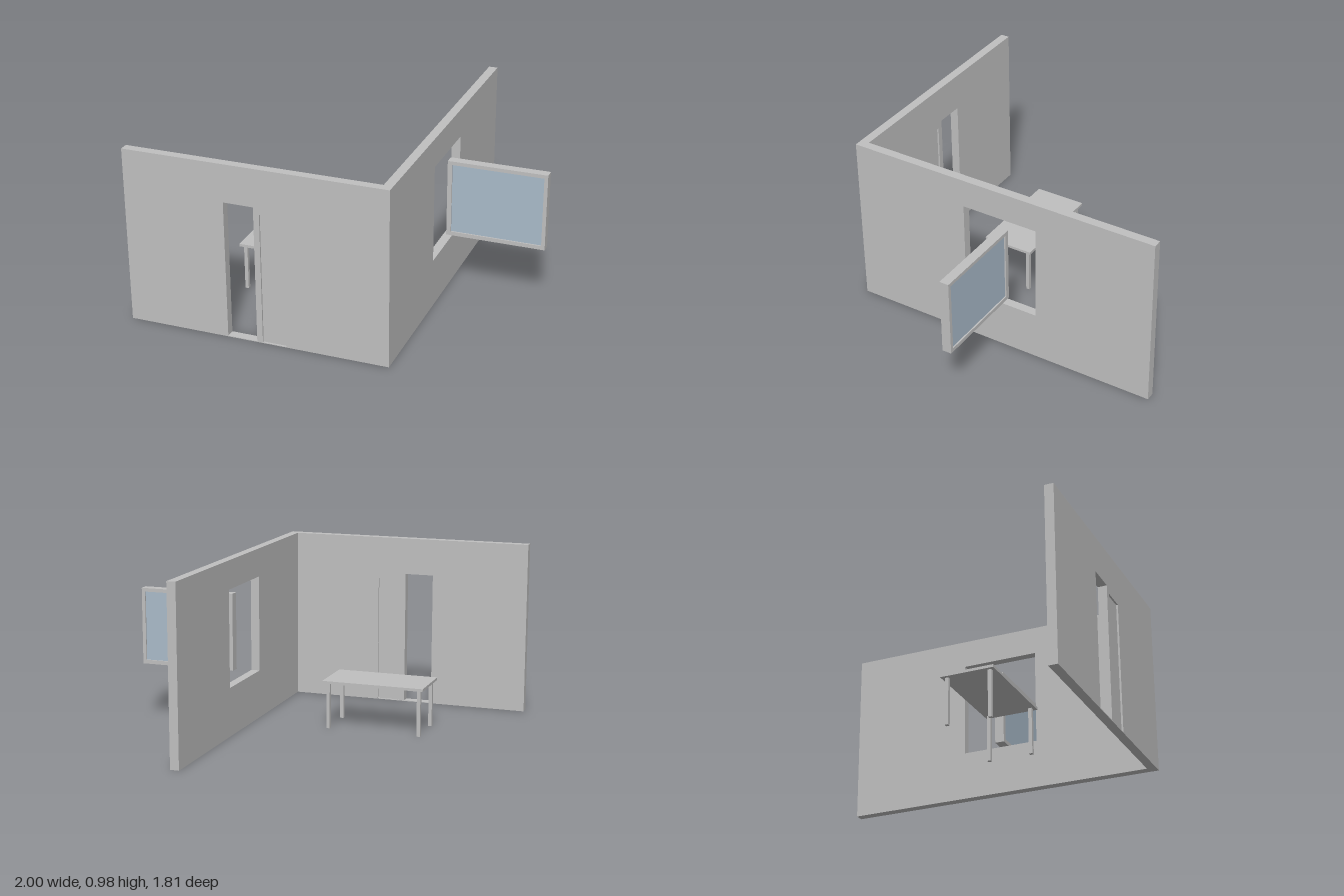
import * as THREE from 'three';

export function createModel() {
  const root = new THREE.Group();
  const grey = new THREE.MeshStandardMaterial({ color: 0xc0c0c0 });
  grey.name = 'plaster grey';
  const blue = new THREE.MeshStandardMaterial({ color: 0xaabbca });
  blue.name = 'glass blue';

  const add = (name, geometry, material, parent = root) => {
    const mesh = new THREE.Mesh(geometry, material);
    mesh.name = name;
    parent.add(mesh);
    return mesh;
  };
  // Box given by its minimum and maximum on each axis
  const box = (name, [x0, x1], [y0, y1], [z0, z1], material = grey, parent = root) => {
    const mesh = add(name, new THREE.BoxGeometry(x1 - x0, y1 - y0, z1 - z0), material, parent);
    mesh.position.set((x0 + x1) / 2, (y0 + y1) / 2, (z0 + z1) / 2);
    return mesh;
  };
  const rect = (path, x0, x1, y0, y1) =>
    path.moveTo(x0, y0).lineTo(x1, y0).lineTo(x1, y1).lineTo(x0, y1).closePath();
  // Rectangular slab with one rectangular hole, extruded along z
  const holedSlab = (outer, inner, depth) => {
    const shape = rect(new THREE.Shape(), ...outer);
    shape.holes.push(rect(new THREE.Path(), ...inner));
    return new THREE.ExtrudeGeometry(shape, { depth, bevelEnabled: false });
  };

  const H = 0.98, zBack = 0.855, zFront = 0.905;

  // Front wall, notched for the doorway and the narrow door panel beside it
  const outline = [
    [-1, 0], [-0.44, 0], [-0.44, 0.77], [-0.275, 0.77], [-0.275, 0], [-0.243, 0],
    [-0.243, 0.735], [-0.11, 0.735], [-0.11, 0], [0.4, 0], [0.4, H], [-1, H],
  ].map(([x, y]) => new THREE.Vector2(x, y));
  add('frontWall', new THREE.ExtrudeGeometry(new THREE.Shape(outline),
    { depth: zFront - zBack, bevelEnabled: false }), grey).position.z = zBack;
  box('doorSill', [-0.44, -0.275], [0, 0.004], [zBack, zFront]);
  box('doorPanelSill', [-0.243, -0.11], [0, 0.004], [zBack, zFront]);
  box('doorPanel', [-0.243, -0.11], [0.004, 0.735], [zBack + 0.01, zFront - 0.01]);

  // Side wall with the window opening
  const side = add('sideWall',
    holedSlab([-zFront, 0.905, 0, H], [-0.22, 0.22, 0.275, 0.82], 0.05), grey);
  side.rotation.y = Math.PI / 2;
  side.position.x = 0.4;

  // Window sash swung outward
  const sash = new THREE.Group();
  sash.name = 'openWindow';
  root.add(sash);
  add('windowFrame', holedSlab([0.45, 1, 0.33, 0.765], [0.475, 0.98, 0.352, 0.745], 0.053),
    grey, sash).position.z = -0.053;
  box('windowGlass', [0.475, 0.98], [0.352, 0.745], [-0.045, -0.008], blue, sash);

  // Table
  const table = new THREE.Group();
  table.name = 'table';
  root.add(table);
  box('tableTop', [-0.6, -0.02], [0.26, 0.275], [0.105, 0.4], grey, table);
  for (const x of [-0.572, -0.048]) {
    for (const z of [0.133, 0.372]) {
      box('tableLeg', [x - 0.01, x + 0.01], [0, 0.26], [z - 0.01, z + 0.01], grey, table);
    }
  }

  return root;
}
